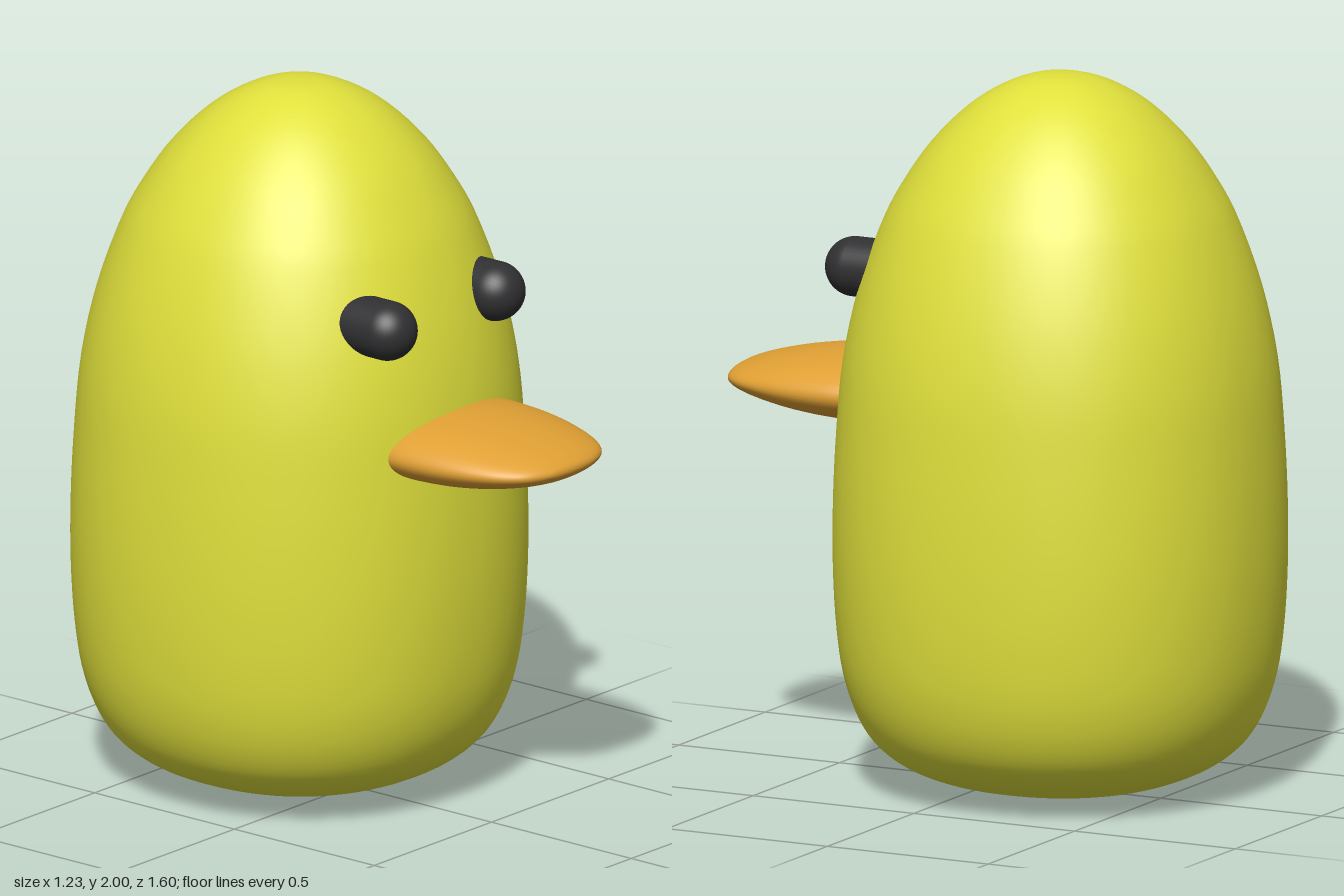
import * as THREE from 'three';
import { mergeVertices } from 'three/addons/utils/BufferGeometryUtils.js';

// Smooth closed skin through rings [halfWidth, height, halfDepth]; power 2 = ellipse, higher = squarer.
function loft(rings, power, steps = 80, sides = 80) {
  const curve = new THREE.CatmullRomCurve3(rings.map((r) => new THREE.Vector3(...r)), false, 'centripetal');
  const bend = (v) => Math.sign(v) * Math.pow(Math.abs(v), 2 / power);
  const pos = [];
  const index = [];
  for (let i = 0; i <= steps; i++) {
    const p = curve.getPoint(i / steps);
    for (let j = 0; j < sides; j++) {
      const a = (j / sides) * Math.PI * 2;
      pos.push(p.x * bend(Math.cos(a)), p.y, p.z * bend(Math.sin(a)));
      if (i === steps) continue;
      const k = i * sides + j;
      const n = i * sides + ((j + 1) % sides);
      index.push(k, k + sides, n + sides, k, n + sides, n);
    }
  }
  const geo = new THREE.BufferGeometry();
  geo.setAttribute('position', new THREE.Float32BufferAttribute(pos, 3));
  geo.setIndex(index);
  const merged = mergeVertices(geo, 1e-5);
  merged.computeVertexNormals();
  return merged;
}

function part(name, geometry, color) {
  const mesh = new THREE.Mesh(geometry, new THREE.MeshStandardMaterial({ color }));
  mesh.name = name;
  return mesh;
}

export function createModel() {
  const model = new THREE.Group();
  model.name = 'duckling';

  // Body: one rounded upright form with a soft, nearly flat base
  const profile = [
    [0, 0], [0.1, 0.003], [0.22, 0.017], [0.34, 0.043], [0.44, 0.088], [0.51, 0.15],
    [0.555, 0.23], [0.585, 0.33], [0.602, 0.45], [0.612, 0.62], [0.612, 0.8], [0.603, 1.0],
    [0.585, 1.2], [0.543, 1.4], [0.473, 1.6], [0.42, 1.7], [0.352, 1.8], [0.255, 1.9],
    [0.165, 1.96], [0.08, 1.992], [0, 2],
  ];
  const body = part('body', loft(profile.map(([r, y]) => [r, y, r]), 2.15), 0xe0e03c);
  body.position.z = -0.187;
  model.add(body);

  // Beak: flat, broad bill lofted forward, rooted inside the body
  const bill = [
    [0, 0.25, 0], [0.25, 0.26, 0.09], [0.27, 0.36, 0.097], [0.272, 0.44, 0.095], [0.262, 0.54, 0.086],
    [0.24, 0.63, 0.071], [0.205, 0.71, 0.052], [0.16, 0.76, 0.036], [0.1, 0.788, 0.02],
    [0.05, 0.797, 0.01], [0, 0.8, 0],
  ];
  const beak = part('beak', loft(bill, 2, 60, 64), 0xe0a034);
  beak.rotation.x = Math.PI / 2;
  beak.position.y = 1.08;
  model.add(beak);

  // Eyes: domed pegs set into the face, slightly off centre
  const eyeGeometry = new THREE.CapsuleGeometry(0.083, 0.1, 16, 40).rotateX(Math.PI / 2);
  for (const [name, x] of [['leftEye', 0.21], ['rightEye', -0.25]]) {
    const eye = part(name, eyeGeometry, 0x303032);
    eye.position.set(x, 1.445, 0.288);
    model.add(eye);
  }
  return model;
}
